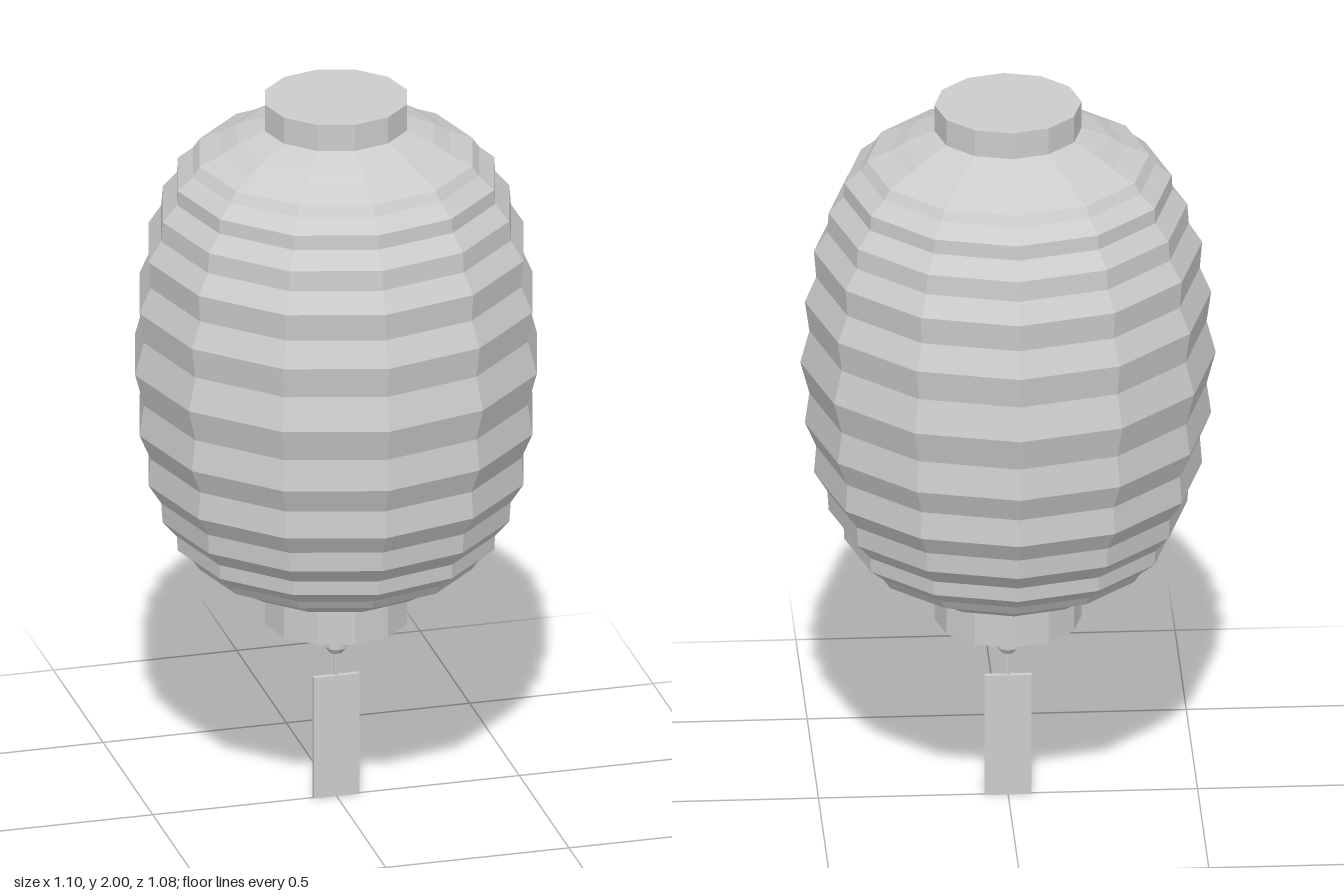
import * as THREE from 'three';

const SIDES = 12;
const MID_Y = 1.265; // the ribbed body mirrors about this height
const DEPTH = 0.986; // slightly shallower than wide

export function createModel() {
  const model = new THREE.Group();
  model.name = 'paperLantern';
  const material = new THREE.MeshStandardMaterial({ color: 0xcccccc, flatShading: true });

  const add = (name, geometry, y) => {
    const mesh = new THREE.Mesh(geometry, material);
    mesh.name = name;
    mesh.position.y = y;
    model.add(mesh);
    return mesh;
  };

  // Ribbed paper body: [height above middle, radius], ridges and valleys alternating
  const half = [
    [0, 0.548], [0.09, 0.524], [0.175, 0.536], [0.245, 0.506], [0.32, 0.512],
    [0.375, 0.477], [0.43, 0.473], [0.475, 0.434], [0.515, 0.432], [0.55, 0.39],
    [0.577, 0.372], [0.605, 0.311], [0.63, 0.27], [0.65, 0.22], [0.662, 0.19],
  ];
  const lower = half.slice(1).reverse().map(([y, r]) => new THREE.Vector2(r, -y));
  const upper = half.map(([y, r]) => new THREE.Vector2(r, y));
  const body = add('paperBody', new THREE.LatheGeometry([...lower, ...upper], SIDES), MID_Y);
  body.scale.z = DEPTH;

  // Top and bottom collars
  for (const [name, y0, y1] of [['topCollar', 1.925, 2], ['bottomCollar', 0.51, 0.605]]) {
    const collar = add(name, new THREE.CylinderGeometry(0.194, 0.194, y1 - y0, SIDES), (y0 + y1) / 2);
    collar.scale.z = DEPTH;
  }

  // Hanging cord, bead and paper tag
  add('cord', new THREE.CylinderGeometry(0.004, 0.004, 0.18, 6), 0.43);
  add('bead', new THREE.SphereGeometry(0.031, 8, 5), 0.437);
  add('tag', new THREE.BoxGeometry(0.124, 0.345, 0.014), 0.1725);

  return model;
}
